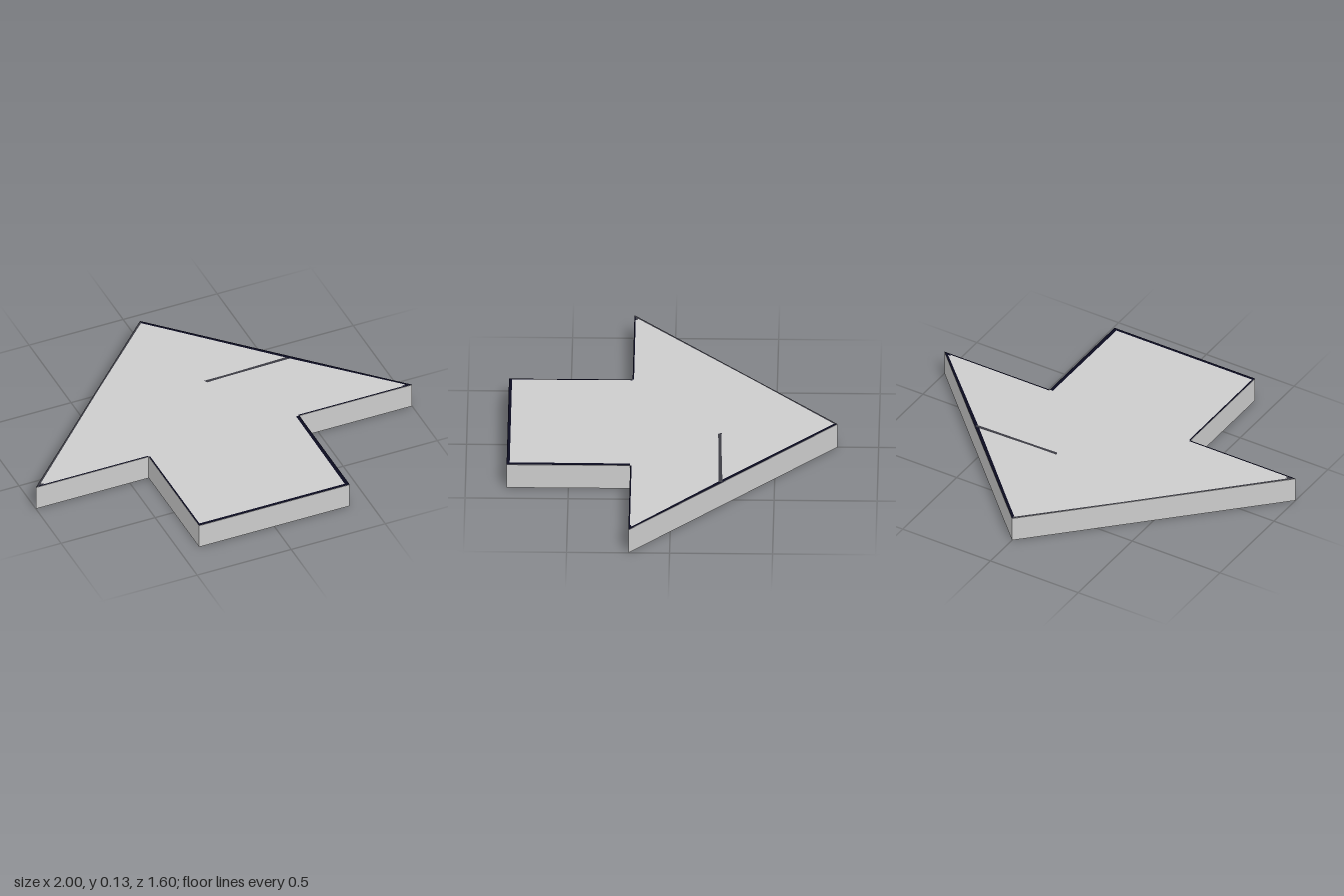
import * as THREE from 'three';

const HEIGHT = 0.13;

// Plan outline given as [x, z] points
function planShape(points) {
  return new THREE.Shape(points.map(([x, z]) => new THREE.Vector2(x, -z)));
}

export function createModel() {
  const model = new THREE.Group();
  model.name = 'arrow';

  const grey = new THREE.MeshStandardMaterial({ color: 0xcccccc });
  grey.name = 'light grey';
  const ink = new THREE.MeshStandardMaterial({ color: 0x0a0a1e });
  ink.name = 'dark ink';
  const faded = new THREE.MeshStandardMaterial({ color: 0x3c3c44 });
  faded.name = 'faded ink';

  // Solid arrow slab, pointing to the back
  const outline = [
    [0, -0.8], [1, 0.2], [0.4, 0.2], [0.4, 0.8],
    [-0.4, 0.8], [-0.4, 0.2], [-1, 0.2],
  ];
  const slab = new THREE.ExtrudeGeometry(planShape(outline), { depth: HEIGHT, bevelEnabled: false });
  slab.rotateX(-Math.PI / 2);
  const body = new THREE.Mesh(slab, grey);
  body.name = 'arrowBody';
  model.add(body);

  // Flat painted marks just above the top face
  function mark(name, points, material) {
    const geometry = new THREE.ShapeGeometry(planShape(points));
    geometry.rotateX(-Math.PI / 2);
    const mesh = new THREE.Mesh(geometry, material);
    mesh.position.y = HEIGHT + 0.0015;
    mesh.name = name;
    model.add(mesh);
  }

  // Edge lines of the head
  mark('rightHeadLine', [[0, -0.8], [1, 0.2], [0.95, 0.19], [0.97, 0.185], [0.54, -0.235], [0.1, -0.68], [0, -0.78]], ink);
  mark('leftHeadLine', [[0, -0.8], [0, -0.785], [-0.4, -0.39], [-0.965, 0.18], [-0.95, 0.19], [-1, 0.2]], faded);

  // Edge lines of the shoulders and shaft
  for (const side of [-1, 1]) {
    mark('shoulderLine', [[side * 0.4, 0.193], [side * 0.98, 0.193], [side, 0.2], [side * 0.4, 0.2]], ink);
  }
  mark('rightShaftLine', [[0.383, 0.2], [0.4, 0.2], [0.4, 0.8], [0.38, 0.8]], ink);
  mark('leftShaftLine', [[-0.4, 0.2], [-0.393, 0.2], [-0.392, 0.8], [-0.4, 0.8]], ink);
  mark('shaftEndLine', [[-0.4, 0.785], [0.4, 0.785], [0.4, 0.8], [-0.4, 0.8]], ink);

  // Short stroke across the head
  mark('headStroke', [[0.09, -0.24], [0.2, -0.24], [0.55, -0.25], [0.55, -0.232], [0.2, -0.226], [0.1, -0.222]], faded);

  return model;
}
